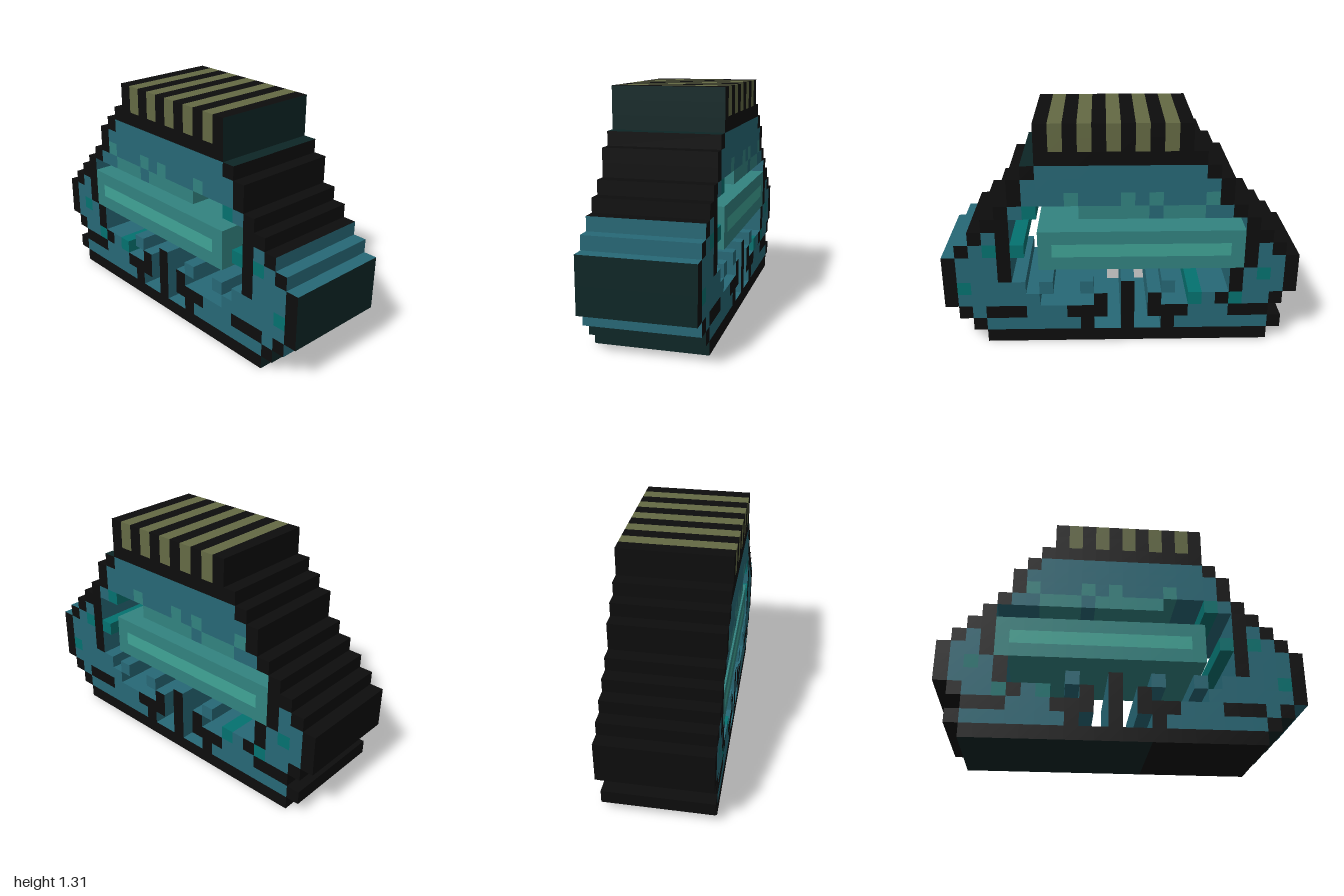
import * as THREE from 'three';
import { mergeGeometries } from 'three/addons/utils/BufferGeometryUtils.js';

// Pixel picture extruded through its depth.
// '.' = gap whose outline walls are tinted teal, ':' = outside tinted dark green.
const ROWS = [
  '        KYKYKYKYKYK:',
  '        KYKYKYKYKYK:',
  '       KKKKKKKKKKKK:',
  '      KTTTTTTTTTTTTK',
  '     KTTTTTTTTTTTTTTK',
  '     KMTTTMTMTTTMTTTK',
  '    KTTMMMTMMMMM...GTK',
  '   K.................KK',
  '  KKMMMMMMMMMMMMMMM..KTK.',
  ' KTKMPPPPPPPPPPPPPM.GKGTK.',
  'KTTKMMMMMMMMMMMMMMM..KTTTK:',
  'KTGTK................KTTTK:',
  'KTTTK....T..K..T..T.TTTTGK:',
  ' KTTGKTG..K.K.K....TTTTTTK:',
  '  KKKTTTKKK.K.KKKTTTKKKTK.',
  ' KTTTTTTTK..K..KTTTTTTTK:',
  '  KKKKKKKKKKKKKKKKKKKKK:',
  '  :::::::::::::',
];

const PARTS = {
  K: ['outline', 0x0d0d0d],
  T: ['body', 0x276876],
  Y: ['contactStrips', 0x646a44],
  G: ['speckles', 0x047270],
  M: ['barAndTrim', 0x328380],
  P: ['barLight', 0x40a496],
  '.': ['cavityWalls', 0x276876],
  ':': ['sideTint', 0x0d2626],
};

const CELL = 2 / 26;
const DEPTH = 0.61;
const HEIGHT = 17 * CELL;
const cellAt = (r, c) => ROWS[r]?.[c] ?? ' ';
const isSolid = (ch) => !' .:'.includes(ch);

// One rectangle, turned to face its direction and moved into place
function face(w, h, rx, ry, x, y, z) {
  return new THREE.PlaneGeometry(w, h).rotateX(rx).rotateY(ry).translate(x, y, z);
}

export function createModel() {
  const model = new THREE.Group();
  model.name = 'pixelBlock';
  const faces = {};
  const add = (key, geometry) => (faces[key] ??= []).push(geometry);
  const q = Math.PI / 2;
  const half = CELL / 2;

  ROWS.forEach((row, r) => [...row].forEach((ch, c) => {
    if (!isSolid(ch)) return;
    const x = -1 + (c + 0.5) * CELL;
    const y = HEIGHT - (r + 0.5) * CELL;

    // Front and back
    add(ch, face(CELL, CELL, 0, 0, x, y, DEPTH / 2));
    add(ch, face(CELL, CELL, 0, Math.PI, x, y, -DEPTH / 2));

    // Walls wherever the neighbouring cell is open
    for (const [dc, dr] of [[1, 0], [-1, 0], [0, 1], [0, -1]]) {
      const next = cellAt(r + dr, c + dc);
      if (isSolid(next)) continue;
      const key = ch === 'K' && next !== ' ' ? next : ch;
      add(key, dc
        ? face(DEPTH, CELL, 0, dc * q, x + dc * half, y, 0)
        : face(CELL, DEPTH, dr * q, 0, x, y - dr * half, 0));
    }
  }));

  for (const [key, list] of Object.entries(faces)) {
    const [name, color] = PARTS[key];
    const mesh = new THREE.Mesh(mergeGeometries(list), new THREE.MeshStandardMaterial({ color }));
    mesh.name = name;
    model.add(mesh);
  }
  return model;
}
